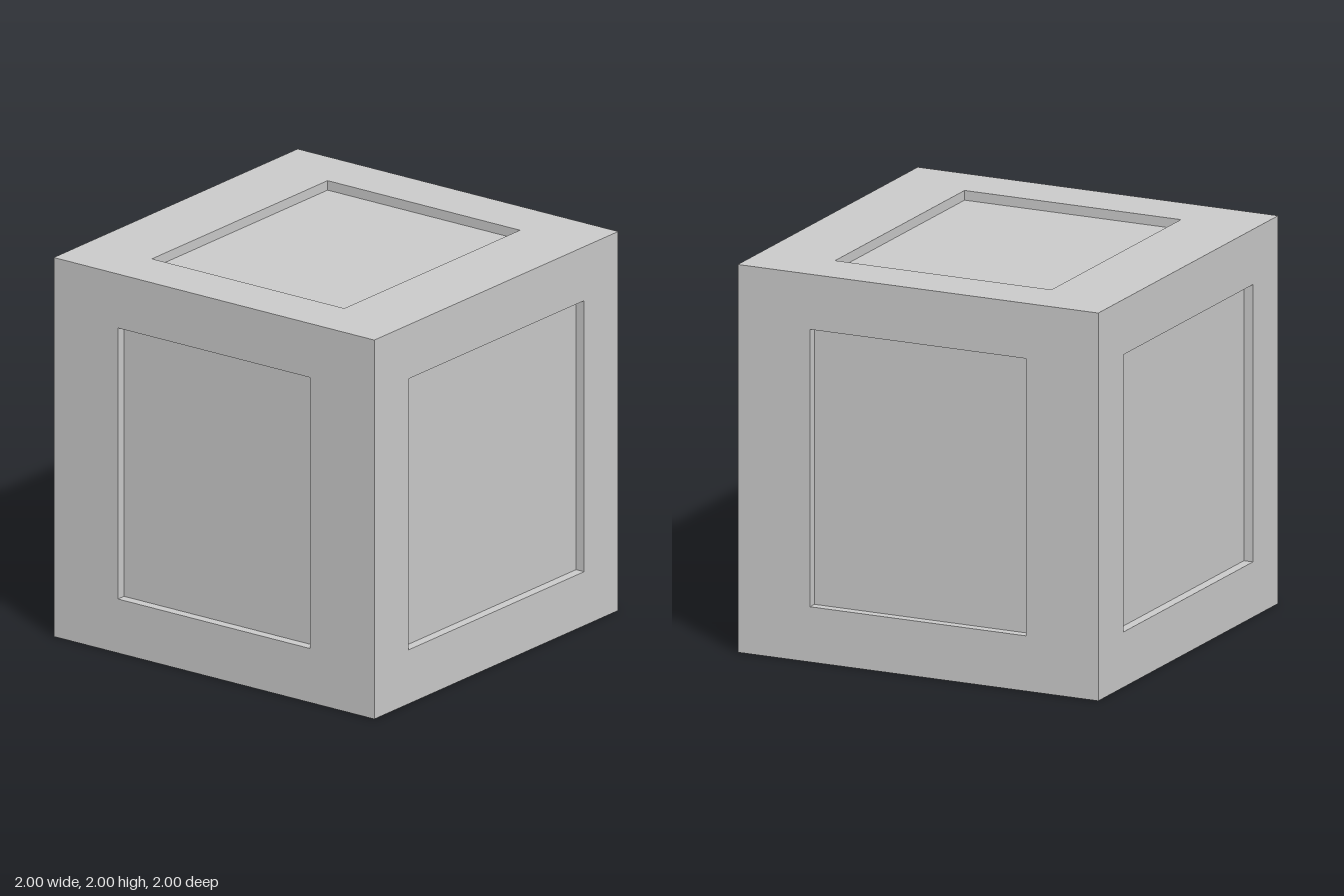
import * as THREE from 'three';

const DEPTH = 0.05; // how far each panel is sunk
const HALF = { x: 0.72, y: 0.715, z: 0.6 }; // recess half sizes along each axis

// Four corners of a rectangle, counter-clockwise, at height w
const rect = (hu, hv, w) => [[-hu, -hv, w], [hu, -hv, w], [hu, hv, w], [-hu, hv, w]];

// Flat-faced geometry from a list of quads
function quads(list) {
  const geometry = new THREE.BufferGeometry();
  const positions = list.flatMap(([a, b, c, d]) => [a, b, c, a, c, d]).flat();
  geometry.setAttribute('position', new THREE.Float32BufferAttribute(positions, 3));
  geometry.computeVertexNormals();
  return geometry;
}

// Band of four quads joining two rectangles
const band = (outer, inner) =>
  outer.map((p, i) => [p, outer[(i + 1) % 4], inner[(i + 1) % 4], inner[i]]);

export function createModel() {
  const model = new THREE.Group();
  model.name = 'panelledCube';
  const material = new THREE.MeshStandardMaterial({ color: 0xcccccc });

  // One side of the cube: border, recess walls and sunken panel
  function addSide(name, hu, hv, rx, ry) {
    const outer = rect(1, 1, 1);
    const rim = rect(hu, hv, 1);
    const floor = rect(hu, hv, 1 - DEPTH);
    const side = new THREE.Group();
    side.name = name;
    const parts = { Border: band(outer, rim), RecessWalls: band(rim, floor), Panel: [floor] };
    for (const [part, list] of Object.entries(parts)) {
      const mesh = new THREE.Mesh(quads(list), material);
      mesh.name = name + part;
      side.add(mesh);
    }
    side.rotation.set(rx, ry, 0);
    side.position.y = 1;
    model.add(side);
  }

  const q = Math.PI / 2;
  addSide('front', HALF.x, HALF.y, 0, 0);
  addSide('back', HALF.x, HALF.y, 0, 2 * q);
  addSide('left', HALF.z, HALF.y, 0, q);
  addSide('right', HALF.z, HALF.y, 0, -q);
  addSide('top', HALF.x, HALF.z, -q, 0);
  addSide('bottom', HALF.x, HALF.z, q, 0);

  return model;
}
